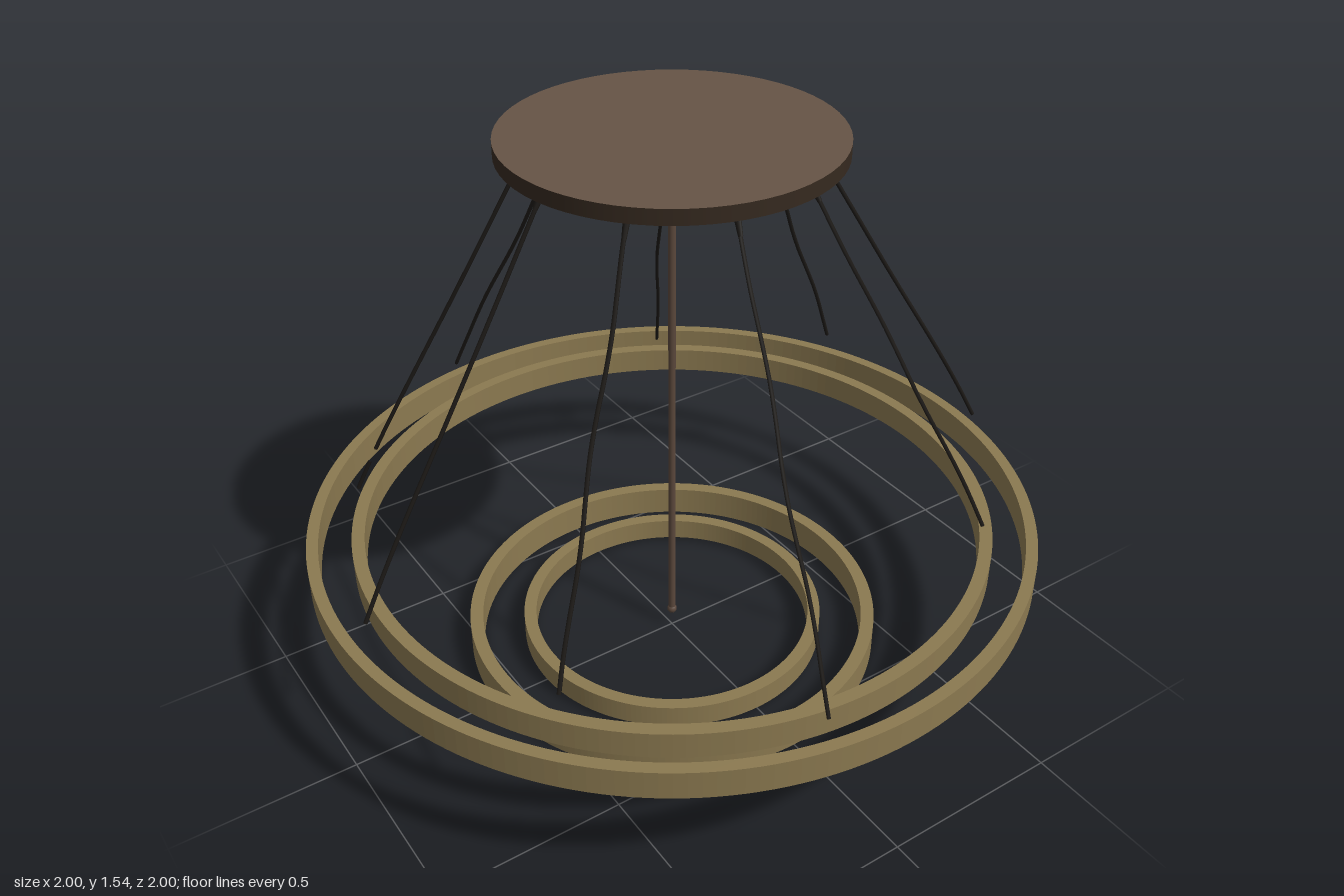
import * as THREE from 'three';

const mat = (name, color) => {
  const m = new THREE.MeshStandardMaterial({ color });
  m.name = name;
  return m;
};

export function createModel() {
  const group = new THREE.Group();
  group.name = 'ringChandelier';

  const brass = mat('aged brass', 0x8b7950);
  const bronze = mat('bronze', 0x665446);
  const darkBronze = mat('dark bronze', 0x35291f);
  const rodBrown = mat('rod brown', 0x5a473b);
  const black = mat('cable black', 0x1c1916);

  const add = (name, geometry, material, y = 0, parent = group) => {
    const mesh = new THREE.Mesh(geometry, material);
    mesh.name = name;
    mesh.position.y = y;
    parent.add(mesh);
    return mesh;
  };

  // Flat hoop with a rectangular section, extruded upwards
  const hoop = (name, outer, inner, y0, y1) => {
    const shape = new THREE.Shape().absarc(0, 0, outer, 0, Math.PI * 2, false);
    shape.holes.push(new THREE.Path().absarc(0, 0, inner, 0, Math.PI * 2, true));
    const geo = new THREE.ExtrudeGeometry(shape, {
      depth: y1 - y0, bevelEnabled: false, curveSegments: 96,
    });
    geo.rotateX(-Math.PI / 2);
    add(name, geo, brass, y0);
  };
  hoop('upperOuterRing', 1.0, 0.968, 0.36, 0.44);
  hoop('upperInnerRing', 0.88, 0.845, 0.363, 0.437);
  hoop('lowerOuterRing', 0.585, 0.548, 0.0, 0.088);
  hoop('lowerInnerRing', 0.43, 0.395, 0.014, 0.078);

  // Ceiling canopy: dark rim and underside, lighter top face
  add('canopy', new THREE.CylinderGeometry(0.43, 0.43, 0.04, 64),
    [darkBronze, bronze, darkBronze], 1.52);

  // Central rod with a collar above and a small ball below
  add('centreRod', new THREE.CylinderGeometry(0.01, 0.01, 1.45, 16), rodBrown, 0.775);
  add('rodCollar', new THREE.CylinderGeometry(0.02, 0.01, 0.05, 16), rodBrown, 1.476);
  add('rodEnd', new THREE.SphereGeometry(0.014, 16, 12), rodBrown, 0.06);

  // Cables: lower end [x, y, z], and an optional break as fractions of the length
  const cables = [
    { end: [-0.92, 0.45, 0.0] },
    { end: [-0.705, 0.46, -0.53], gap: [0.87, 0.91] },
    { end: [-0.21, 0.52, -0.895], gap: [0.12, 0.18] },
    { end: [0.46, 0.45, -0.775] },
    { end: [0.83, 0.55, -0.35] },
    { end: [0.865, 0.57, 0.27] },
    { end: [0.49, 0.595, 0.695] },
    { end: [-0.17, 0.45, 0.9] },
    { end: [-0.68, 0.52, 0.55] },
  ];
  cables.forEach(({ end, gap }, i) => {
    const cable = new THREE.Group();
    cable.name = `cable${i + 1}`;
    group.add(cable);

    const angle = Math.PI + i * Math.PI * 2 / 9;
    const side = new THREE.Vector3(-Math.sin(angle), 0, Math.cos(angle));
    const out = new THREE.Vector3(Math.cos(angle), 0, Math.sin(angle));
    const top = out.clone().multiplyScalar(0.345).setY(1.5);
    const tip = new THREE.Vector3(...end);

    // Nearly straight path with a slight waver and a steeper lower end
    const wire = (t) => top.clone().lerp(tip, t)
      .addScaledVector(side, i ? 0.006 * Math.sin(t * Math.PI * 4 + i) * Math.sin(t * Math.PI) : 0)
      .addScaledVector(out, 0.025 * t ** 3 * Math.sin(t * Math.PI));
    const spans = gap ? [[0, gap[0]], [gap[1], 1]] : [[0, 1]];
    spans.forEach(([a, b]) => {
      const points = Array.from({ length: 13 }, (_, k) => wire(a + (b - a) * k / 12));
      add('wire', new THREE.TubeGeometry(new THREE.CatmullRomCurve3(points), 36, 0.0055, 6),
        black, 0, cable);
    });

    // Tapered strain relief under the canopy
    const relief = add('cableGrip', new THREE.CylinderGeometry(0.011, 0.006, 0.08, 8), black, 0, cable);
    const dir = wire(0).sub(wire(0.1)).normalize();
    relief.quaternion.setFromUnitVectors(new THREE.Vector3(0, 1, 0), dir);
    relief.position.copy(top).addScaledVector(dir, -0.034);
  });

  return group;
}
